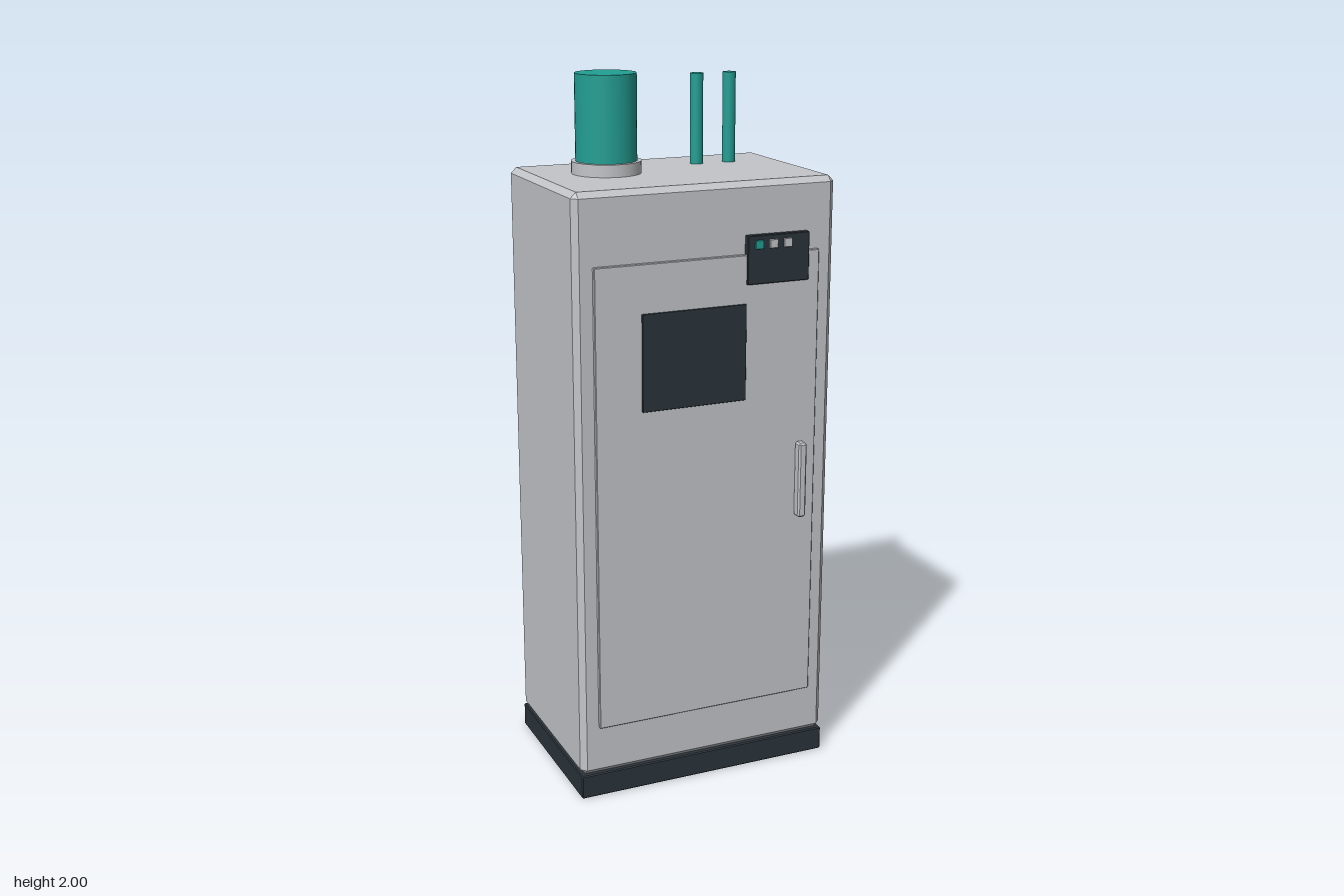
import * as THREE from 'three';
import { ConvexGeometry } from 'three/addons/geometries/ConvexGeometry.js';

const material = (name, color) => {
  const m = new THREE.MeshStandardMaterial({ color });
  m.name = name;
  return m;
};

// Box between two corners, with every edge cut flat by c.
function chamferedBox([x0, y0, z0], [x1, y1, z1], c) {
  const centre = new THREE.Vector3(x0 + x1, y0 + y1, z0 + z1).multiplyScalar(0.5);
  const half = new THREE.Vector3(x1 - x0, y1 - y0, z1 - z0).multiplyScalar(0.5);
  const points = [];
  for (const sx of [-1, 1]) for (const sy of [-1, 1]) for (const sz of [-1, 1]) {
    for (let axis = 0; axis < 3; axis++) {
      const p = half.clone().subScalar(c);
      p.setComponent(axis, half.getComponent(axis));
      points.push(p.multiply(new THREE.Vector3(sx, sy, sz)).add(centre));
    }
  }
  return new ConvexGeometry(points);
}

export function createModel() {
  const model = new THREE.Group();
  model.name = 'boilerCabinet';
  const grey = material('light grey', 0xc4c5c9);
  const dark = material('dark slate', 0x2b343b);
  const teal = material('teal', 0x239f94);

  const add = (name, geometry, mat) => {
    const mesh = new THREE.Mesh(geometry, mat);
    mesh.name = name;
    model.add(mesh);
    return mesh;
  };
  const box = (name, min, max, c, mat) => add(name, chamferedBox(min, max, c), mat);
  const pipe = (name, x, z, r, y0, y1, mat) =>
    add(name, new THREE.CylinderGeometry(r, r, y1 - y0, 40), mat).position.set(x, (y0 + y1) / 2, z);

  // Plinth and cabinet
  box('plinth', [-0.382, 0, -0.276], [0.382, 0.07, 0.232], 0.003, dark);
  box('cabinet', [-0.382, 0.07, -0.276], [0.382, 1.73, 0.232], 0.016, grey);

  // Door with window and handle
  box('door', [-0.33, 0.216, 0.225], [0.33, 1.534, 0.244], 0.002, grey);
  box('window', [-0.197, 1.13, 0.241], [0.109, 1.4, 0.249], 0.001, dark);
  box('handle', [0.267, 0.77, 0.243], [0.292, 0.99, 0.274], 0.005, grey);

  // Control panel with three buttons
  box('controlPanel', [0.11, 1.452, 0.23], [0.296, 1.586, 0.25], 0.002, dark);
  [0.143, 0.186, 0.229].forEach((x, i) => {
    box('button', [x - 0.012, 1.549, 0.248], [x + 0.012, 1.573, 0.256], 0.001, i ? grey : teal);
  });

  // Flue with collar, and two thin pipes
  pipe('flueCollar', -0.171, -0.065, 0.097, 1.725, 1.764, grey);
  pipe('flue', -0.171, -0.065, 0.085, 1.725, 2, teal);
  for (const x of [0.127, 0.228]) pipe('waterPipe', x, -0.125, 0.0185, 1.725, 1.983, teal);

  return model;
}
